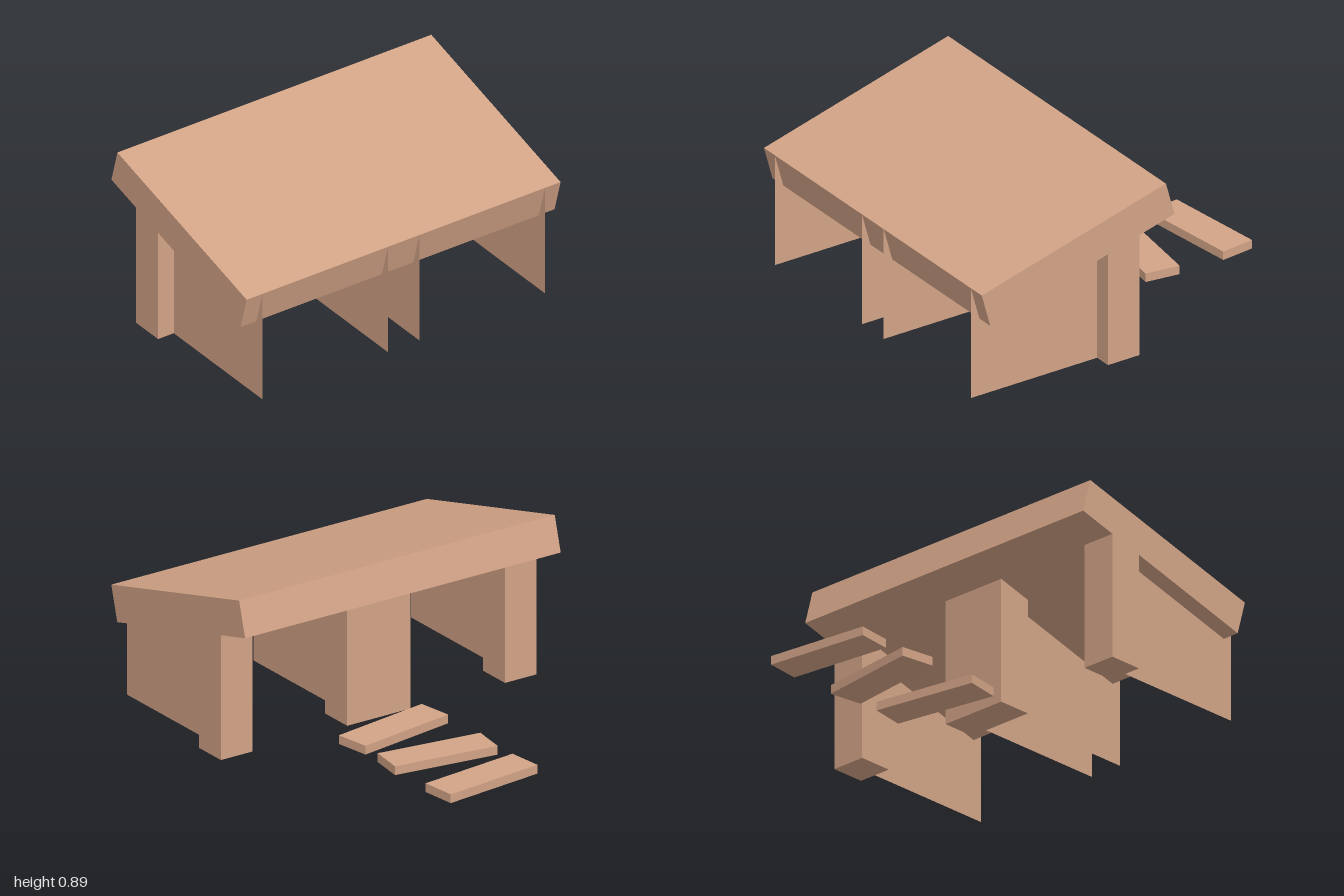
import * as THREE from 'three';

const wood = new THREE.MeshStandardMaterial({ color: 0xd2a386 });
const panelWood = new THREE.MeshStandardMaterial({ color: 0xd2a386, side: THREE.DoubleSide });

const HALF = 0.93;   // half the length of the shelter along z
const POST = 0.186;  // post thickness

const outline = (points) => new THREE.Shape(points.map(([x, y]) => new THREE.Vector2(x, y)));

// Extrudes a side profile (x, y) between two z positions
function prism(name, points, z0, z1) {
  const geometry = new THREE.ExtrudeGeometry(outline(points), { depth: z1 - z0, bevelEnabled: false });
  geometry.translate(0, 0, z0);
  const mesh = new THREE.Mesh(geometry, wood);
  mesh.name = name;
  return mesh;
}

export function createModel() {
  const group = new THREE.Group();
  group.name = 'shelterWithBenches';

  // Sloping slab roof
  group.add(prism('roof', [[-0.13, 0.71], [0.95, 0.42], [1, 0.6], [-0.08, 0.89]], -HALF, HALF));

  // Posts cut to the roof slope: one at each end, a double one in the middle
  const postProfile = [[0.074, 0], [0.26, 0], [0.26, 0.607], [0.074, 0.657]];
  const spans = [['frontPost', HALF - POST, HALF], ['middlePost', -POST, POST], ['backPost', -HALF, POST - HALF]];
  for (const [name, z0, z1] of spans) group.add(prism(name, postProfile, z0, z1));

  // Thin wall panels centred on each post thickness, running up into the roof
  const panelGeometry = new THREE.ShapeGeometry(outline([[0.26, 0], [1, 0], [1, 0.6], [0.26, 0.64]]));
  for (const z of [HALF - POST / 2, POST / 2, -POST / 2, POST / 2 - HALF]) {
    const panel = new THREE.Mesh(panelGeometry, panelWood);
    panel.name = 'wallPanel';
    panel.position.z = z;
    group.add(panel);
  }

  // Low loose planks lying in front of the open side
  const plankGeometry = new THREE.BoxGeometry(0.184, 0.046, 0.558);
  for (const [x, turn] of [[-0.878, 0.11], [-0.507, -0.135], [-0.134, 0.163]]) {
    const plank = new THREE.Mesh(plankGeometry, wood);
    plank.name = 'plank';
    plank.position.set(x, 0.023, -0.058);
    plank.rotation.y = turn;
    group.add(plank);
  }
  return group;
}
